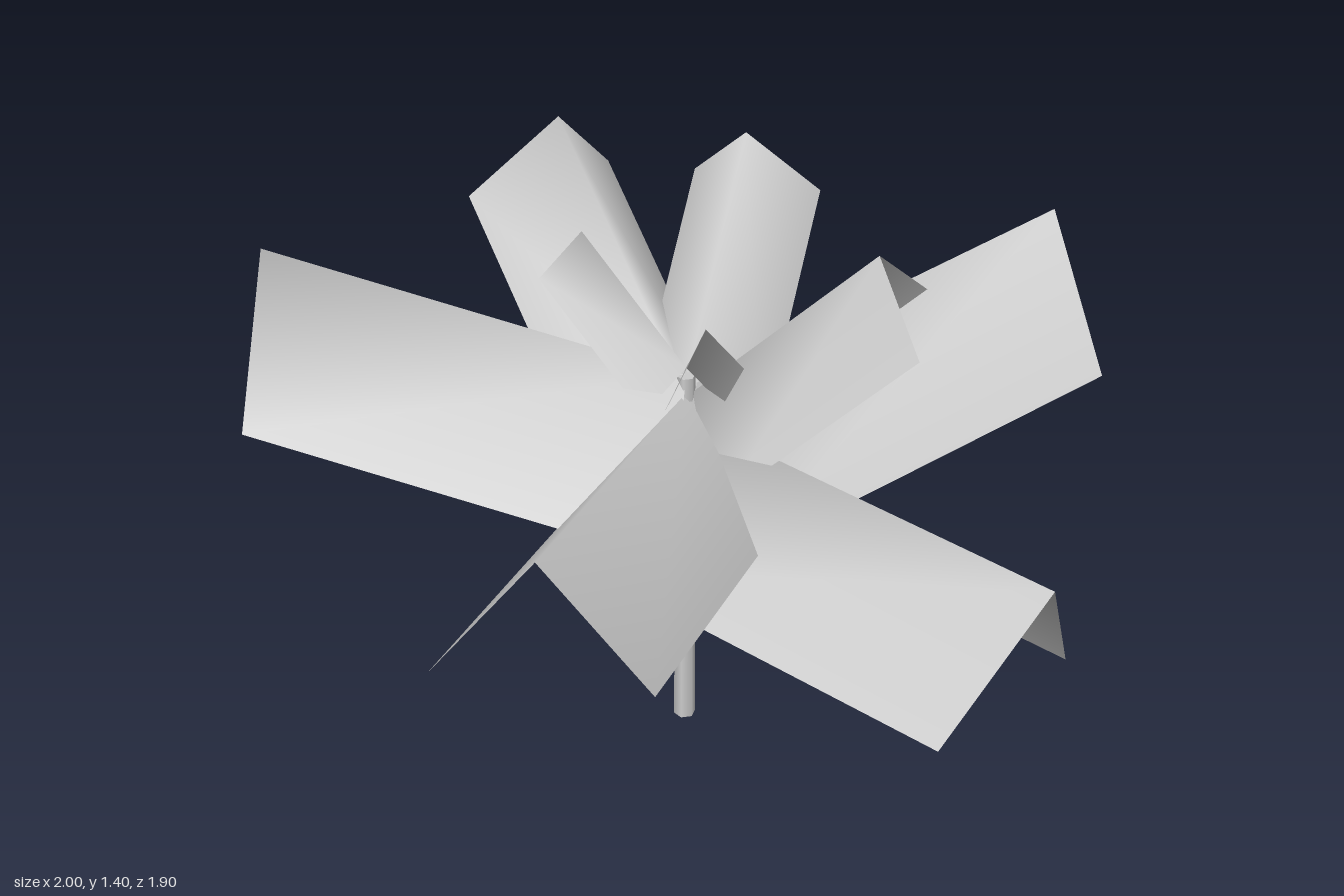
import * as THREE from 'three';

const leafMaterial = new THREE.MeshStandardMaterial({ color: 0xcccccc, side: THREE.DoubleSide });
const stemMaterial = new THREE.MeshStandardMaterial({ color: 0xcccccc });

// Ridge start height, ridge tip, and the offsets from the ridge to the two drooping edges
const leaves = [
  { name: 'frontLeaf', y: 0.95, tip: [0.04, 1.165, 0.95], a: [-0.257, -0.355, 0], b: [0.257, -0.285, 0] },
  { name: 'rightLeaf', y: 1.0, tip: [-0.96, 1.235, 0.08], a: [-0.04, -0.345, -0.25], b: [0.04, -0.35, 0.255] },
  { name: 'leftLeaf', y: 0.885, tip: [1.0, 0.87, 0.32], a: [-0.185, -0.312, 0.235], b: [0, -0.36, -0.235] },
  { name: 'backLeftLeaf', y: 0.965, tip: [0.735, 1.18, -0.78], a: [0.18, -0.335, 0.175], b: [-0.185, -0.35, -0.175] },
  { name: 'backRightLeaf', y: 0.95, tip: [-0.43, 1.38, -0.495], a: [0.055, -0.215, -0.2], b: [-0.205, -0.21, 0.085] },
  { name: 'backLeaf', y: 0.99, tip: [0.035, 1.405, -0.515], a: [0.155, -0.19, -0.115], b: [-0.16, -0.18, -0.105] },
  { name: 'upperLeftLeaf', y: 0.94, tip: [0.467, 1.365, -0.125], a: [0.133, -0.18, 0.125], b: [0.075, -0.17, -0.17] },
  { name: 'upperRightLeaf', y: 1.02, tip: [-0.24, 1.3, -0.125], a: [-0.035, -0.1, -0.11], b: [-0.08, -0.1, 0.075] },
  { name: 'upperFrontLeaf', y: 1.02, tip: [0.145, 1.265, 0.14], a: [-0.035, -0.1, 0.075], b: [0.09, -0.085, 0] },
];
const stemX = 0.035, stemZ = -0.062;

// A sheet folded along its ridge, smooth across the fold
function createLeaf({ name, y, tip, a, b }) {
  const root = new THREE.Vector3(stemX, y, stemZ);
  const end = new THREE.Vector3(...tip);
  const points = [];
  for (const ridge of [root, end]) {
    for (const offset of [a, [0, 0, 0], b]) {
      points.push(ridge.clone().add(new THREE.Vector3(...offset)));
    }
  }
  const geometry = new THREE.BufferGeometry().setFromPoints(points);
  // Keep the outer faces of the fold upward
  const along = end.clone().sub(root);
  const across = points[2].clone().sub(points[0]);
  const up = across.cross(along).y > 0;
  geometry.setIndex(up
    ? [0, 1, 4, 0, 4, 3, 1, 2, 5, 1, 5, 4]
    : [0, 4, 1, 0, 3, 4, 1, 5, 2, 1, 4, 5]);
  geometry.computeVertexNormals();
  const leaf = new THREE.Mesh(geometry, leafMaterial);
  leaf.name = name;
  return leaf;
}

export function createModel() {
  const model = new THREE.Group();
  model.name = 'plant';

  // Thin upright stem
  const height = 1.0;
  const stem = new THREE.Mesh(new THREE.CylinderGeometry(0.022, 0.027, height, 6), stemMaterial);
  stem.name = 'stem';
  stem.position.set(stemX, height / 2, stemZ);
  model.add(stem);

  // Leaves fanning out from the top of the stem
  for (const spec of leaves) model.add(createLeaf(spec));
  return model;
}
